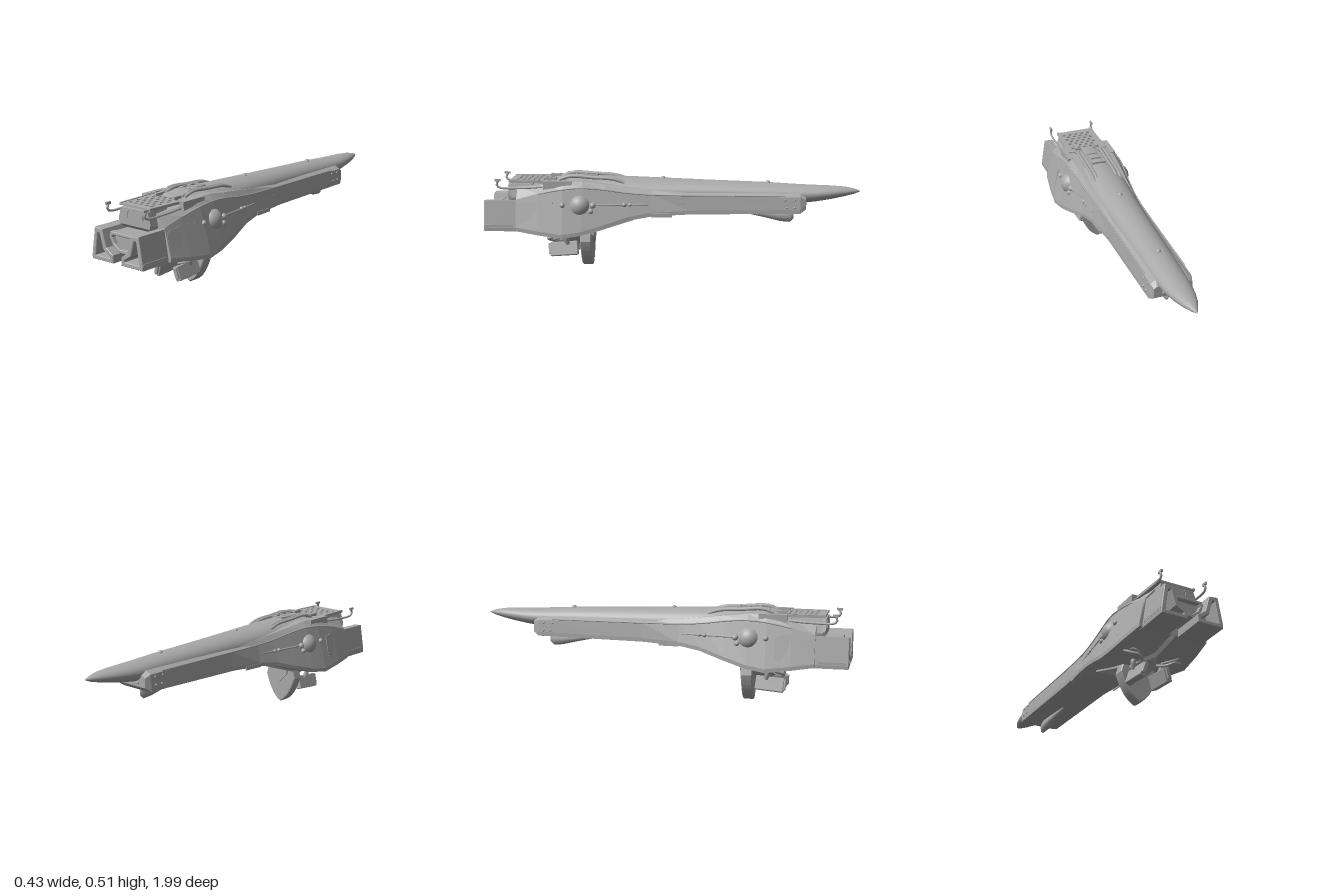
import * as THREE from 'three';
import { RoundedBoxGeometry } from 'three/addons/geometries/RoundedBoxGeometry.js';

const grey = new THREE.MeshStandardMaterial({ color: 0xa8a8a8 });
const V = (x, y, z) => new THREE.Vector3(x, y, z);

// Closed skin through sections {z, pts}, points running counter-clockwise seen from +z.
function loft(sections, smooth = false) {
  const n = sections[0].pts.length, pos = [], idx = [];
  sections.forEach(s => s.pts.forEach(p => pos.push(p[0], p[1], s.z)));
  for (let s = 0; s < sections.length - 1; s++)
    for (let i = 0; i < n; i++) {
      const a = s * n + i, b = s * n + (i + 1) % n;
      idx.push(a, b, b + n, a, b + n, a + n);
    }
  const ends = [[sections[0], 0, true], [sections.at(-1), (sections.length - 1) * n, false]];
  for (const [sec, base, back] of ends) {
    const tris = THREE.ShapeUtils.triangulateShape(sec.pts.map(p => new THREE.Vector2(...p)), []);
    for (const [a, b, c] of tris) idx.push(base + a, base + (back ? c : b), base + (back ? b : c));
  }
  const g = new THREE.BufferGeometry();
  g.setAttribute('position', new THREE.Float32BufferAttribute(pos, 3));
  g.setIndex(idx);
  const out = smooth ? g : g.toNonIndexed();
  out.computeVertexNormals();
  return out;
}

// Full outline from a half profile that runs from bottom centre to top centre.
const both = half => half.concat(half.slice(1, -1).reverse().map(([x, y]) => [-x, y]));

// Copy of a geometry on the other side, with its corner order kept outward.
function mirrored(geo) {
  const g = geo.index ? geo.toNonIndexed() : geo.clone();
  g.scale(-1, 1, 1);
  for (const a of [g.attributes.position, g.attributes.normal])
    for (let i = 0; i < a.count; i += 3)
      for (let k = 0; k < 3; k++) {
        const t = a.getComponent(i + 1, k);
        a.setComponent(i + 1, k, a.getComponent(i + 2, k));
        a.setComponent(i + 2, k, t);
      }
  return g;
}

const shapeOf = pts => new THREE.Shape(pts.map(p => new THREE.Vector2(...p)));
function extrude(shape, depth, z, bevel = 0) {
  const g = new THREE.ExtrudeGeometry(shape, {
    depth, bevelEnabled: bevel > 0, bevelSize: bevel, bevelThickness: bevel, bevelSegments: 1, curveSegments: 8 });
  return g.translate(0, 0, z);
}
const tube = (pts, r) => new THREE.TubeGeometry(new THREE.CatmullRomCurve3(pts.map(p => V(...p))), 20, r, 8);
const box = (w, h, d, x, y, z, rx = 0, ry = 0, rz = 0) =>
  new THREE.BoxGeometry(w, h, d).applyMatrix4(new THREE.Matrix4().makeRotationFromEuler(new THREE.Euler(rx, ry, rz))).translate(x, y, z);
const ball = (r, x, y, z) => new THREE.SphereGeometry(r, 20, 14).translate(x, y, z);

export function createModel() {
  const model = new THREE.Group();
  const add = (name, geo) => {
    const m = new THREE.Mesh(geo, grey);
    m.name = name;
    model.add(m);
  };
  const pair = (name, geo) => { add(name + 'Left', geo); add(name + 'Right', mirrored(geo)); };

  // Armoured hull: z, bottom half width and y, side width and y, shoulder width and y, top width and y
  const hull = [
    [-0.71, .085, .34, .1, .35, .1, .39, .085, .40],
    [-0.68, .09, .315, .115, .33, .108, .405, .08, .42],
    [-0.1, .09, .305, .12, .32, .11, .41, .085, .425],
    [0.1, .095, .295, .135, .31, .115, .41, .1, .435],
    [0.22, .1, .275, .155, .29, .125, .42, .105, .45],
    [0.35, .11, .23, .185, .25, .135, .44, .115, .465],
    [0.47, .12, .195, .205, .215, .15, .45, .12, .48],
    [0.57, .13, .18, .217, .2, .155, .44, .125, .48],
    [0.7, .13, .2, .205, .215, .155, .42, .115, .455],
    [0.82, .13, .22, .188, .232, .15, .385, .1, .445]];
  add('hull', loft(hull.map(([z, wb, yb, w, yl, wm, ym, wt, yt]) => ({
    z, pts: both([[0, yb], [wb, yb], [w, yl - .01], [w, yl + .01], [wm, ym], [wt, yt], [0, yt + .006]]) }))));

  // Long rounded spire: z, half width, centre y, half height
  const spire = [[-1, .002, .425, .002], [-.97, .018, .424, .014], [-.92, .039, .422, .025], [-.85, .057, .417, .035],
    [-.77, .07, .411, .043], [-.68, .077, .407, .05], [-.5, .082, .407, .06], [-.2, .09, .41, .066],
    [0, .098, .41, .073], [.2, .108, .415, .075], [.4, .12, .42, .075], [.54, .125, .425, .075], [.63, .115, .425, .06]];
  add('spire', loft(spire.map(([z, w, y, h]) => ({
    z, pts: Array.from({ length: 32 }, (_, i) => {
      const a = i / 32 * Math.PI * 2;
      return [w * Math.cos(a), y + h * Math.sin(a)];
    }) })), true));
  add('spineStudRear', ball(.013, 0, .465, -.51));
  add('spineStudMiddle', ball(.013, 0, .482, .05));

  // Open front pods with a framed mouth and a recessed panel
  const mouth = [[.15, .235], [.046, .235], [.046, .248], [.09, .275], [.113, .355], [.132, .355]];
  const frame = shapeOf([[.167, .22], [.168, .235], [.145, .375], [.1, .37], [.075, .285], [.03, .255], [.03, .22]]);
  frame.holes.push(new THREE.Path(mouth.map(p => new THREE.Vector2(...p))));
  pair('podFrame', extrude(frame, .2, .79, .003));
  pair('podPanel', extrude(shapeOf(mouth), .08, .82));
  pair('podRail', box(.008, .012, .15, .168, .245, .91));
  for (const [y, z, h, d] of [[.33, .92, .006, .05], [.27, .92, .006, .05], [.3, .945, .066, .006], [.3, .895, .066, .006]])
    pair('podHatchEdge', box(.006, h, d, .1665 - (y - .235) * .164, y, z, 0, 0, .16));

  // Nose block and its eight-sided bezel between the pods
  const nose = [[.03, .262], [.068, .295], [.088, .335], [.08, .355], [-.08, .355], [-.088, .335], [-.068, .295], [-.03, .262]];
  add('noseBlock', extrude(shapeOf(nose), .13, .8));
  const bezel = shapeOf(nose);
  bezel.holes.push(new THREE.Path(nose.map(([x, y]) => new THREE.Vector2(x * .86, .312 + (y - .312) * .78))));
  add('noseBezel', extrude(bezel, .03, .92, .003));

  // Cowl above the nose, with slots
  const cowl = (z, yb, yt) => ({ z, pts: both([[0, yb], [.1, yb], [.107, Math.max(yb, .36) + .028], [.09, yt], [0, yt + .003]]) });
  add('cowl', loft([cowl(.74, .36, .462), cowl(.85, .36, .462), cowl(.87, .378, .46)]));
  pair('cowlSlot', box(.045, .007, .006, .062, .448, .871));
  pair('cowlLatch', box(.013, .035, .006, .053, .43, .871));

  // Perforated deck
  const deck = shapeOf([[-.108, -.61], [-.096, -.865], [.096, -.865], [.108, -.61]]);
  for (let r = 0; r < 7; r++)
    for (let c = 0; c < 5 - r % 2; c++) {
      const hole = new THREE.Path();
      const x = (c - (4 - r % 2) / 2) * .036, y = -.65 - r * .028;
      for (let k = 0; k < 6; k++)
        hole[k ? 'lineTo' : 'moveTo'](x + .012 * Math.cos(k * Math.PI / 3), y + .012 * Math.sin(k * Math.PI / 3));
      hole.closePath();
      deck.holes.push(hole);
    }
  add('deck', extrude(deck, .01, 0).rotateX(-Math.PI / 2).translate(0, .468, 0));
  pair('deckRim', box(.01, .014, .26, .104, .474, .737, 0, -.047));
  pair('deckFoot', box(.018, .02, .05, .06, .482, .64));
  pair('shoulderBlock', box(.028, .045, .15, .126, .46, .6));

  // Bent antenna arms and roof rails
  pair('antennaArm', tube([[.125, .45, .68], [.125, .443, .8], [.125, .446, .915], [.125, .462, .927], [.125, .483, .915]], .006));
  pair('antennaTip', box(.01, .012, .03, .125, .484, .92));
  for (const x of [.056, .076])
    pair('roofRail', tube([[x, .468, .25], [x, .487, .31], [x, .494, .42], [x, .5, .54], [x, .482, .6]], .0085));
  pair('railPost', new THREE.CapsuleGeometry(.009, .02, 4, 10).translate(.066, .487, .57));

  // Roof hatch between the rails
  pair('hatchSide', box(.009, .02, .12, .033, .492, .46));
  for (const z of [.405, .46, .515]) add('hatchBar', box(.066, .014, .012, 0, .497, z));

  // Side domes with small lamps and a trim line
  pair('sideDome', new THREE.SphereGeometry(.06, 32, 24).translate(.14, .355, .48));
  for (const [y, z, r] of [[.362, .57, .014], [.36, .41, .016], [.33, .42, .014], [.362, .245, .012], [.362, .215, .01]]) {
    const i = Math.max(1, hull.findIndex(s => s[0] > z)), a = hull[i - 1], b = hull[i], t = (z - a[0]) / (b[0] - a[0]);
    const [w, yl, wm, ym] = [3, 4, 5, 6].map(k => a[k] + (b[k] - a[k]) * t);
    pair('sideLamp', ball(r, w + (wm - w) * (y - yl) / (ym - yl), y, z));
  }
  pair('sideTrim', tube([[.125, .362, .12], [.139, .362, .22], [.155, .362, .33], [.166, .362, .42]], .005));
  pair('upperTrim', tube([[.106, .41, -.6], [.112, .41, 0], [.117, .413, .12], [.127, .423, .24], [.138, .441, .36], [.152, .45, .48], [.155, .437, .6], [.155, .417, .7]], .004));
  pair('sidePanel', loft([[.62, .262, .375], [.66, .25, .385], [.79, .25, .37], [.815, .258, .36]].map(([z, a, b]) => {
    const x = y => .214 - (z - .57) * .09 - (y - .21) * .24;
    return { z, pts: [[x(a) - .02, a], [x(a) + .004, a], [x(b) + .004, b], [x(b) - .02, b]] };
  })));
  pair('lowerSidePlate', box(.006, .02, .11, .1315, .305, .05, 0, .075));
  for (const [y, z] of [[.39, -.6], [.39, -.65], [.35, -.61], [.35, -.65], [.37, -.06]])
    pair('sideRivet', ball(.006, .1165 - (y - .33) * .11, y, z));
  pair('tailRivet', ball(.007, .05, .36, -.71));

  // Belly grille on the sloping underside
  const slope = Math.atan(.1 / .3), bellyY = z => .279 - (z - .2) * .335;
  pair('grilleEdge', box(.012, .016, .26, .085, bellyY(.33), .33, slope));
  for (let i = 0; i < 7; i++) {
    const z = .21 + i * .04;
    add('grilleSlat', box(.165, .014, i % 3 ? .012 : .022, 0, bellyY(z), z, slope));
  }

  // Chin keel, shield, guns and hoses
  const keel = (z, w, y) => ({ z, pts: both([[0, y], [w, y + .055], [w, .24], [0, .24]]) });
  add('chinKeel', loft([keel(.42, .055, .12), keel(.56, .055, .115), keel(.66, .035, .175), keel(.82, .03, .2)]));
  const shield = new THREE.Shape();
  shield.moveTo(-.085, .2);
  shield.lineTo(-.098, .15);
  shield.quadraticCurveTo(-.06, .035, 0, .008);
  shield.quadraticCurveTo(.06, .035, .098, .15);
  shield.lineTo(.085, .2);
  add('chinShield', extrude(shield, .05, .435, .005));
  const gun = (w, h, d, z) => new RoundedBoxGeometry(w, h, d, 1, .005).rotateZ(.3).rotateX(.08).translate(.066, .103, z);
  pair('chinGun', gun(.034, .075, .15, .58));
  pair('chinGunMuzzle', gun(.022, .06, .03, .65));
  pair('chinStrut', tube([[.07, .2, .56], [.08, .17, .57], [.07, .13, .56]], .013));
  pair('hose', tube([[.17, .205, .6], [.14, .178, .64], [.1, .165, .66], [.07, .152, .64], [.035, .16, .6]], .008));
  pair('upperHose', tube([[.15, .2, .62], [.125, .19, .66], [.09, .173, .66], [.05, .165, .62]], .006));

  // Keel fin under the tail
  const fin = [[-.65, .004, .27, .305], [-.63, .015, .252, .31], [-.58, .022, .256, .315], [-.5, .018, .275, .315], [-.42, .01, .292, .315], [-.36, .004, .302, .315]];
  add('tailFin', loft(fin.map(([z, w, a, b]) => ({
    z, pts: both([[0, a], [w * .7, a + (b - a) * .15], [w, (a + b) / 2], [w * .7, b], [0, b]]) })), true));

  return model;
}
